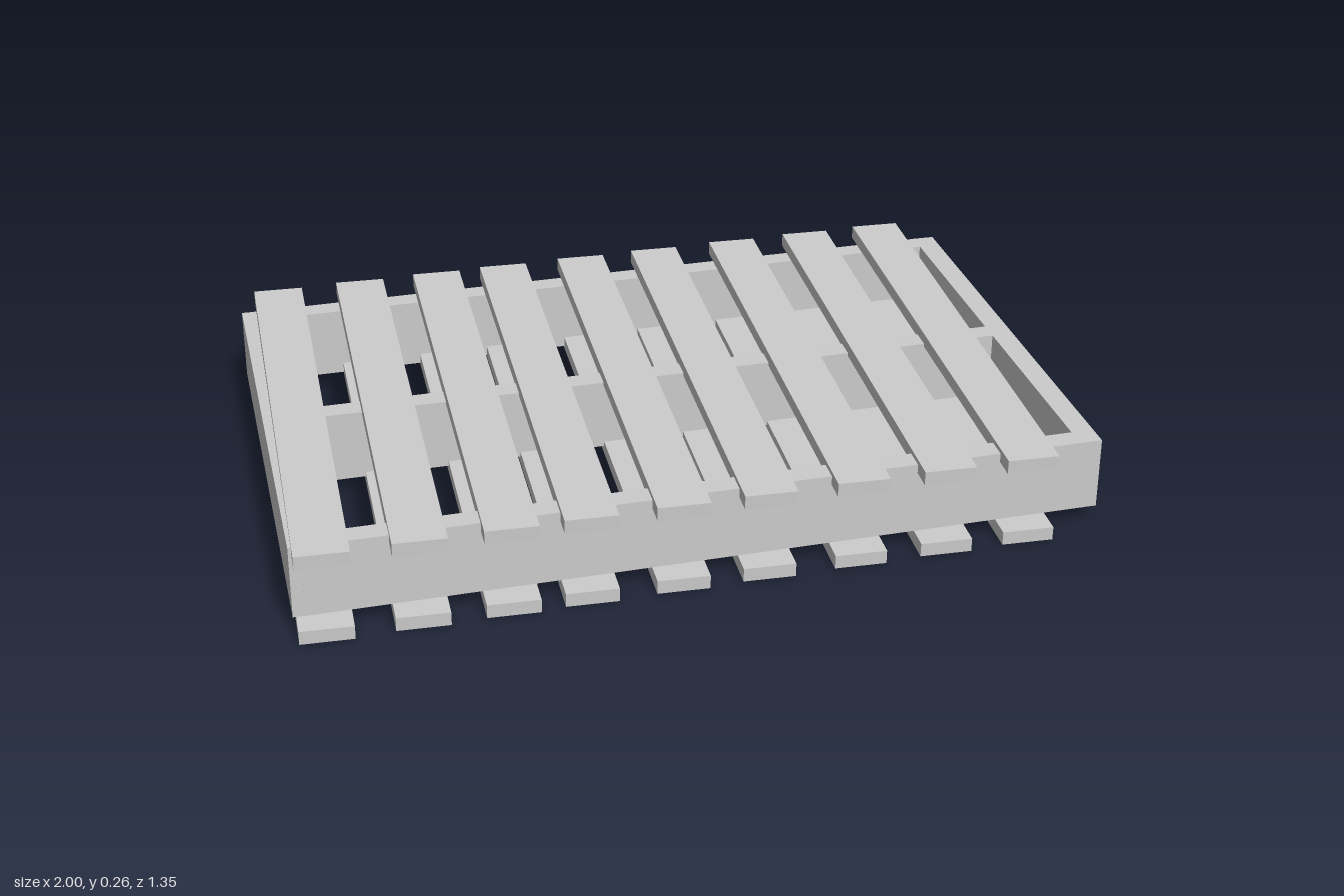
import * as THREE from 'three';

export function createModel() {
  const model = new THREE.Group();
  const material = new THREE.MeshStandardMaterial({ color: 0xcccccc, flatShading: true });

  function board(name, size, position, pitch = 0, yaw = 0) {
    const mesh = new THREE.Mesh(new THREE.BoxGeometry(...size), material);
    mesh.name = name;
    mesh.position.set(...position);
    mesh.rotation.set(pitch, yaw, 0, 'XYZ');
    model.add(mesh);
  }

  const frameHeight = 0.18;
  const frameY = 0.13;
  const thickness = 0.056;

  // Slightly skewed side boards
  const skew = -0.035;
  const sideZ = -0.016;
  board('leftSideBoard', [thickness, frameHeight, 1.25], [0.946, frameY, sideZ], 0, skew);
  board('rightSideBoard', [thickness, frameHeight, 1.25], [-0.95, frameY, sideZ], 0, skew);

  // Cross beams running between the side boards
  const beams = { frontBeam: 0.581, middleBeam: -0.024, backBeam: -0.613 };
  for (const [name, z] of Object.entries(beams)) {
    const x = -0.002 + skew * (z - sideZ);
    board(name, [1.896, frameHeight, thickness], [x, frameY, z]);
  }

  // Unevenly spaced slats above and below, all tilted up towards the back
  const slatX = [-0.893, -0.674, -0.465, -0.281, -0.064, 0.144, 0.369, 0.583, 0.791];
  const slatSize = [0.126, 0.034, 1.345];
  for (const x of slatX) {
    board('topSlat', slatSize, [x, 0.229, -0.002], 0.024, -0.059);
    board('bottomSlat', slatSize, [x, 0.035, -0.002], 0.024, -0.059);
  }

  return model;
}
